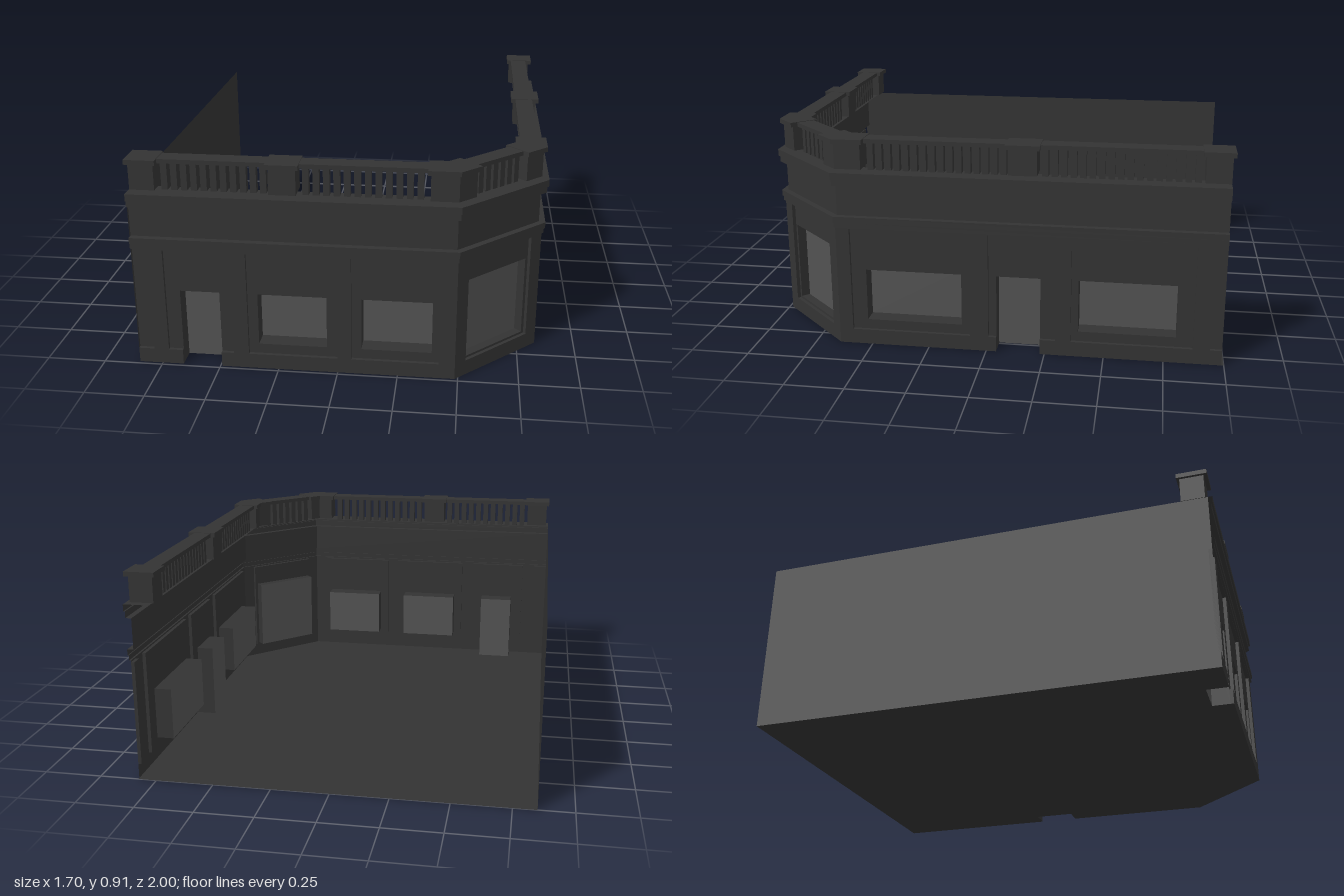
import * as THREE from 'three';
import { mergeGeometries } from 'three/addons/utils/BufferGeometryUtils.js';

const wallMat = new THREE.MeshStandardMaterial({ color: 0x333333, side: THREE.DoubleSide });
const glassMat = new THREE.MeshStandardMaterial({ color: 0x525252, side: THREE.DoubleSide });

const BASE = 0.065, PANEL_TOP = 0.523, WALL_TOP = 0.53; // heights of the street-level wall
const PANEL_D = -0.015;                                 // depth of the sunken panels
const K = Math.tan(Math.PI / 8);                        // mitre factor of the 45 degree corner

function mesh(name, geo, mat = wallMat) {
  const m = new THREE.Mesh(geo, mat);
  m.name = name;
  return m;
}

// Flat upright rectangle in a wall's own frame: u along the wall, d outwards
function rect(u0, u1, y0, y1, d) {
  return new THREE.PlaneGeometry(u1 - u0, y1 - y0).translate((u0 + u1) / 2, (y0 + y1) / 2, d).toNonIndexed();
}

function box(u0, u1, y0, y1, d0, d1) {
  return new THREE.BoxGeometry(u1 - u0, y1 - y0, d1 - d0)
    .translate((u0 + u1) / 2, (y0 + y1) / 2, (d0 + d1) / 2);
}

// Flat-shaded quads joining consecutive rows of points
function skin(rows) {
  const pos = [], uv = [];
  for (let i = 0; i + 1 < rows.length; i++) {
    for (let j = 0; j + 1 < rows[i].length; j++) {
      const a = rows[i][j], b = rows[i][j + 1], c = rows[i + 1][j + 1], d = rows[i + 1][j];
      pos.push(...a, ...b, ...c, ...a, ...c, ...d);
      uv.push(0, 0, 1, 0, 1, 1, 0, 0, 1, 1, 0, 1);
    }
  }
  const g = new THREE.BufferGeometry();
  g.setAttribute('position', new THREE.Float32BufferAttribute(pos, 3));
  g.setAttribute('uv', new THREE.Float32BufferAttribute(uv, 2));
  g.computeVertexNormals();
  return g;
}

// Reveal: an outline pushed from depth d0 to depth d1
const reveal = (pts, d0, d1) => skin([d1, d0].map(d => pts.map(([u, y]) => [u, y, d])));
const loop = (u0, u1, y0, y1) => [[u0, y0], [u1, y0], [u1, y1], [u0, y1], [u0, y0]];

// Horizontal slab or post from a plan outline of [x, z] points
function slab(points, y0, y1) {
  const shape = new THREE.Shape(points.map(([x, z]) => new THREE.Vector2(x, -z)));
  return new THREE.ExtrudeGeometry(shape, { depth: y1 - y0, bevelEnabled: false })
    .rotateX(-Math.PI / 2).translate(0, y0, 0);
}

// Wall with sunken panels; each panel may hold an opening (a door when it starts at y = 0)
function facade(length, panels) {
  const g = new THREE.Group(), walls = [rect(0, length, PANEL_TOP, WALL_TOP, 0)];
  let pier = 0, base = 0;
  for (const { u: [p0, p1], open } of panels) {
    if (p0 > pier) walls.push(rect(pier, p0, BASE, PANEL_TOP, 0));
    pier = p1;
    if (!open) {
      walls.push(rect(p0, p1, BASE, PANEL_TOP, PANEL_D), reveal(loop(p0, p1, BASE, PANEL_TOP), 0, PANEL_D));
      continue;
    }
    const [a, b, y0, y1, depth] = open, door = y0 === 0;
    walls.push(rect(p0, a, BASE, PANEL_TOP, PANEL_D), rect(b, p1, BASE, PANEL_TOP, PANEL_D),
      rect(a, b, y1, PANEL_TOP, PANEL_D));
    if (door) {
      walls.push(rect(base, a, 0, BASE, 0));
      base = b;
      walls.push(
        reveal([[a, 0], [a, BASE], [p0, BASE], [p0, PANEL_TOP], [p1, PANEL_TOP], [p1, BASE], [b, BASE], [b, 0]], 0, PANEL_D),
        reveal([[a, 0], [a, y1], [b, y1], [b, 0]], PANEL_D, -depth));
    } else {
      walls.push(rect(a, b, BASE, y0, PANEL_D), reveal(loop(p0, p1, BASE, PANEL_TOP), 0, PANEL_D),
        reveal(loop(a, b, y0, y1), PANEL_D, -depth));
    }
    g.add(mesh(door ? 'doorPane' : 'windowPane', rect(a, b, y0, y1, -depth), glassMat));
  }
  if (pier < length) walls.push(rect(pier, length, BASE, PANEL_TOP, 0));
  walls.push(rect(base, length, 0, BASE, 0));
  g.add(mesh('panelledWall', mergeGeometries(walls)));
  return g;
}

// Handrail and evenly spaced balusters between two posts
function balustrade(g, u0, u1, count) {
  g.add(mesh('handrail', box(u0 - 0.02, u1 + 0.02, 0.89, 0.908, -0.107, -0.028)));
  const step = (u1 - u0) / count, bars = [];
  for (let i = 0; i < count; i++) {
    const c = u0 + step * (i + 0.5);
    bars.push(box(c - 0.013, c + 0.013, 0.77, 0.89, -0.082, -0.052));
  }
  g.add(mesh('balusters', mergeGeometries(bars)));
}

function post(g, u0, u1) {
  g.add(mesh('parapetPost', box(u0 + 0.012, u1 - 0.012, 0.78, 0.89, -0.113, -0.012)));
  g.add(mesh('postCap', box(u0, u1, 0.89, 0.91, -0.125, 0.003)));
}

export function createModel() {
  const root = new THREE.Group();
  root.name = 'cornerShop';
  const place = (g, name, x, z, angle) => {
    g.name = name;
    g.position.set(x, 0, z);
    g.rotation.y = angle;
    root.add(g);
    return g;
  };
  const winY = [0.108, 0.337], doorY = [0, 0.337], depth = 0.09;

  // Three street walls
  const front = place(facade(1.337, [
    { u: [0, 0.067] },
    { u: [0.13, 0.41], open: [0.19, 0.357, ...doorY, depth] },
    { u: [0.475, 0.85], open: [0.517, 0.804, ...winY, depth] },
    { u: [0.907, 1.27], open: [0.948, 1.24, ...winY, depth] },
  ]), 'frontFacade', -0.85, 0.985, 0);
  const corner = place(facade(0.485, [
    { u: [0.061, 0.424], open: [0.075, 0.41, 0.075, 0.425, 0.055] },
  ]), 'cornerFacade', 0.487, 0.985, Math.PI / 4);
  const side = place(facade(1.632, [
    { u: [0.058, 0.572], open: [0.122, 0.535, ...winY, depth] },
    { u: [0.652, 0.937], open: [0.685, 0.872, ...doorY, depth] },
    { u: [1.002, 1.512], open: [1.032, 1.442, ...winY, depth] },
    { u: [1.582, 1.632] },
  ]), 'sideFacade', 0.83, 0.642, Math.PI / 2);

  // Band, frieze and cornice swept round the corner
  const profile = [[0, 0.53], [0.008, 0.53], [0.008, 0.552], [0.013, 0.552], [0.013, 0.578], [-0.014, 0.578],
    [-0.014, 0.712], [0.011, 0.712], [0.011, 0.74], [0.018, 0.74], [0.018, 0.77], [-0.09, 0.77]];
  root.add(mesh('cornice', skin(profile.map(([o, y]) => [
    [-0.85, y, 0.985 + o], [0.487 + o * K, y, 0.985 + o], [0.83 + o, y, 0.642 + o * K], [0.83 + o, y, -0.99],
  ]).reverse())));

  // Parapet
  post(front, 0, 0.127);
  post(front, 0.566, 0.7);
  balustrade(front, 0.125, 0.57, 11);
  balustrade(front, 0.7, 1.2, 12);
  balustrade(corner, 0.1, 0.385, 7);
  balustrade(side, 0.13, 0.73, 16);
  post(side, 0.724, 0.867);
  balustrade(side, 0.865, 1.52, 17);
  post(side, 1.515, 1.642);

  // Bent posts where the parapet turns; the second is the first mirrored over the diagonal
  const bent = (leg, turn, o, i) => {
    const r = Math.SQRT1_2, p = (s, d) => [0.487 + (s + d) * r, 0.985 + (d - s) * r];
    return [[0.487 - leg, 0.985 + o], [0.487 - leg, 0.985 + i], [0.487 + i * K, 0.985 + i],
      p(turn, i), p(turn, o), [0.487 + o * K, 0.985 + o]];
  };
  const mirror = pts => pts.map(([x, z]) => [z - 0.155, x + 0.155]).reverse();
  for (const flip of [p => p, mirror]) {
    root.add(mesh('cornerPost', slab(flip(bent(0.117, 0.1, -0.012, -0.113)), 0.78, 0.89)));
    root.add(mesh('cornerPostCap', slab(flip(bent(0.129, 0.112, 0.003, -0.125)), 0.89, 0.91)));
  }

  // Plain party wall
  root.add(mesh('partyWall', new THREE.PlaneGeometry(1.985, 0.77).rotateY(-Math.PI / 2).translate(-0.85, 0.385, -0.0075)));

  // Floor, notched at both doorways
  const floor = new THREE.Shape([
    [-0.85, -1], [-0.85, 0.985], [-0.66, 0.985], [-0.66, 0.895], [-0.493, 0.895], [-0.493, 0.985], [0.487, 0.985],
    [0.83, 0.642], [0.83, -0.043], [0.74, -0.043], [0.74, -0.23], [0.83, -0.23], [0.83, -1],
  ].map(([x, z]) => new THREE.Vector2(x, -z)));
  root.add(mesh('floor', new THREE.ShapeGeometry(floor).rotateX(-Math.PI / 2)));
  return root;
}
